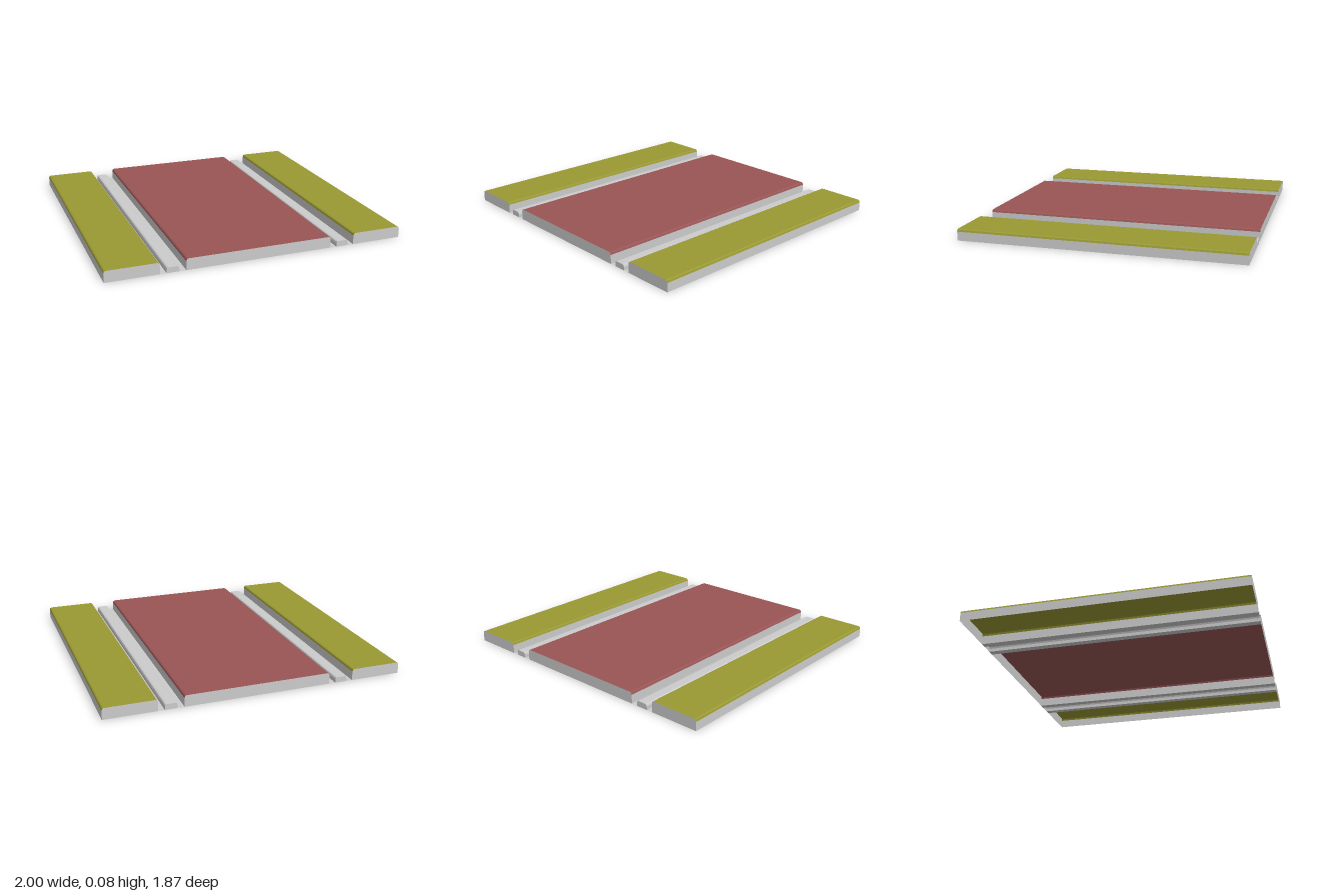
import * as THREE from 'three';

const HALF = 0.935; // half length along z
const material = (color) => new THREE.MeshStandardMaterial({ color, side: THREE.DoubleSide, flatShading: true });
const grey = material(0xcccccc);
const yellow = material(0x999933);
const red = material(0x995555);

// Sweeps a left-to-right cross-section along z, with a separate quad per facet
function strip(points) {
  const pos = [];
  for (let i = 0; i < points.length - 1; i++) {
    const [ax, ay] = points[i], [bx, by] = points[i + 1];
    pos.push(ax, ay, HALF, bx, by, HALF, bx, by, -HALF);
    pos.push(ax, ay, HALF, bx, by, -HALF, ax, ay, -HALF);
  }
  const g = new THREE.BufferGeometry();
  g.setAttribute('position', new THREE.Float32BufferAttribute(pos, 3));
  g.computeVertexNormals();
  return g;
}

// Hollow raised slab: two side walls, two end walls and a bevelled top, open below
function slab(name, x0, x1, h, bevel, topMaterial) {
  const group = new THREE.Group();
  group.name = name;
  const add = (part, geometry, mat) => {
    const mesh = new THREE.Mesh(geometry, mat);
    mesh.name = part;
    group.add(mesh);
    return mesh;
  };
  const y = h - bevel;
  const top = [
    [x0, y], [x0 + bevel * 0.25, h - bevel * 0.27], [x0 + bevel * 0.75, h],
    [x1 - bevel * 0.75, h], [x1 - bevel * 0.25, h - bevel * 0.27], [x1, y],
  ];
  add('topSurface', strip(top), topMaterial);
  add('rightWall', strip([[x0, 0], [x0, y]]), grey);
  add('leftWall', strip([[x1, y], [x1, 0]]), grey);

  const outline = [[x0, 0], ...top, [x1, 0]].map(([px, py]) => new THREE.Vector2(px, py));
  const cap = new THREE.ShapeGeometry(new THREE.Shape(outline));
  add('frontWall', cap, grey).position.z = HALF;
  const back = cap.clone().rotateY(Math.PI).translate(x0 + x1, 0, 0);
  add('backWall', back, grey).position.z = -HALF;
  return group;
}

export function createModel() {
  const model = new THREE.Group();
  model.name = 'trackSection';

  // Wide middle panel
  model.add(slab('centrePanel', -0.49, 0.49, 0.076, 0.017, red));

  for (const s of [-1, 1]) {
    const side = s > 0 ? 'left' : 'right';
    const span = (a, b) => (s > 0 ? [a, b] : [-b, -a]);

    // Outer panel and low rail
    model.add(slab(side + 'OuterPanel', ...span(0.657, 1), 0.076, 0.017, yellow));
    model.add(slab(side + 'Rail', ...span(0.535, 0.615), 0.037, 0.015, grey));

    // Flat channel floors on both sides of the rail
    for (const [a, b] of [[0.49, 0.535], [0.615, 0.657]]) {
      const [x0, x1] = span(a, b);
      const floor = new THREE.Mesh(strip([[x0, 0], [x1, 0]]), grey);
      floor.name = side + 'ChannelFloor';
      model.add(floor);
    }
  }
  return model;
}
